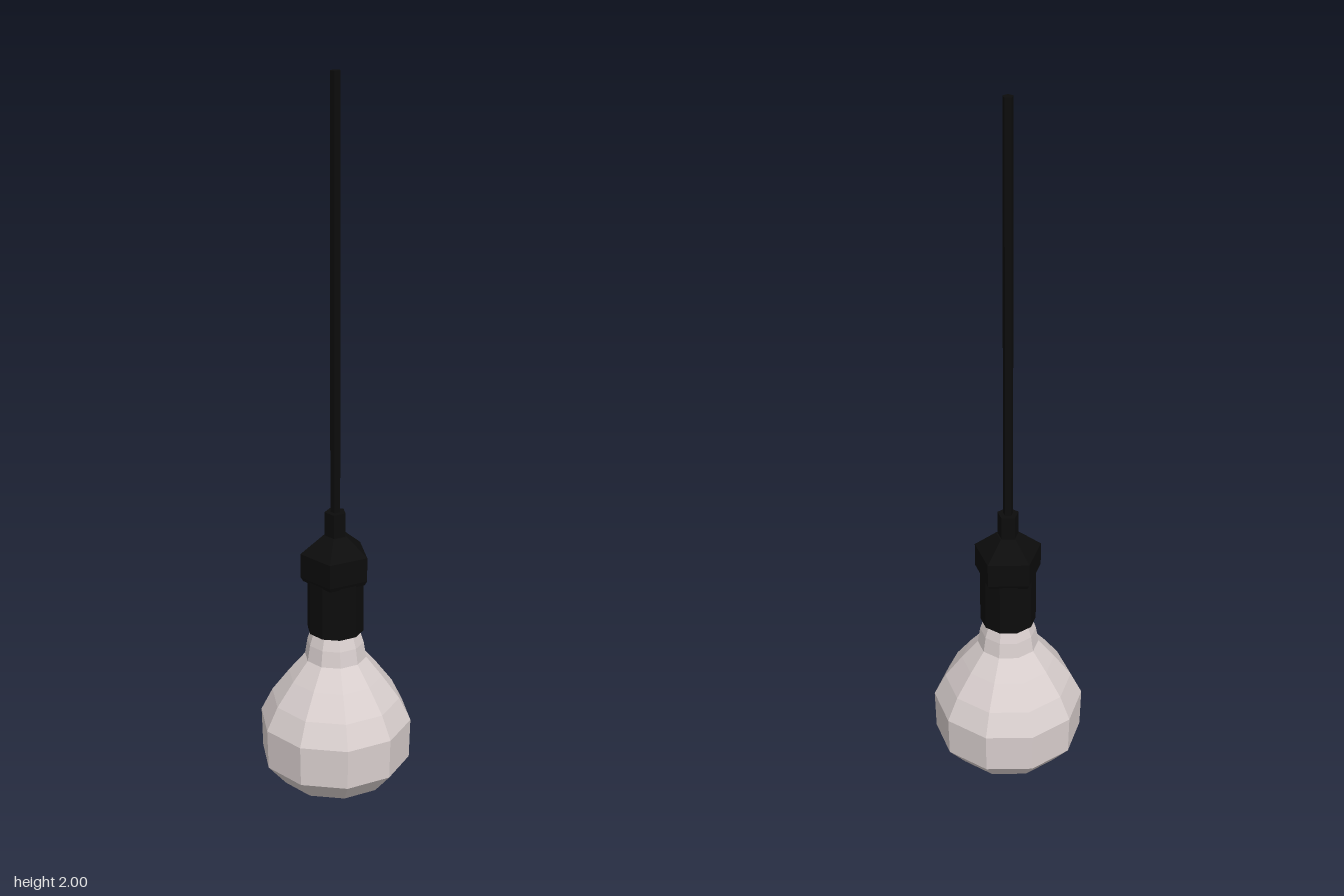
import * as THREE from 'three';

export function createModel() {
  const group = new THREE.Group();
  const glass = new THREE.MeshStandardMaterial({ color: 0xd9cfce, flatShading: true });
  glass.name = 'frosted glass';
  const black = new THREE.MeshStandardMaterial({ color: 0x0c0c0c, flatShading: true });
  black.name = 'black plastic';

  // Faceted solid of revolution from [radius, height] pairs, bottom to top
  function turned(name, material, sides, start, profile) {
    const points = profile.map(([r, y]) => new THREE.Vector2(r, y));
    const mesh = new THREE.Mesh(new THREE.LatheGeometry(points, sides, start), material);
    mesh.name = name;
    group.add(mesh);
  }

  // Ten-sided globe with a narrow neck
  turned('bulb', glass, 10, Math.PI / 2, [
    [0, 0], [0.058, 0.004], [0.155, 0.058], [0.207, 0.12], [0.21, 0.235],
    [0.178, 0.3], [0.13, 0.365], [0.085, 0.42], [0.078, 0.465], [0.065, 0.505], [0, 0.505],
  ]);

  // Socket sleeve that grips the neck
  turned('socketSleeve', black, 10, Math.PI / 2, [
    [0, 0.5], [0.077, 0.5], [0.077, 0.66], [0, 0.66],
  ]);

  // Five-sided collar with a sloping shoulder
  turned('socketCollar', black, 5, 0, [
    [0, 0.648], [0.088, 0.648], [0.095, 0.66], [0.095, 0.728], [0.034, 0.778], [0, 0.778],
  ]);

  // Strain relief and hanging cable
  turned('cableGrip', black, 5, 0, [[0, 0.77], [0.03, 0.77], [0.03, 0.845], [0, 0.845]]);
  turned('cable', black, 5, 0, [[0, 0.84], [0.014, 0.84], [0.014, 2], [0, 2]]);

  return group;
}
